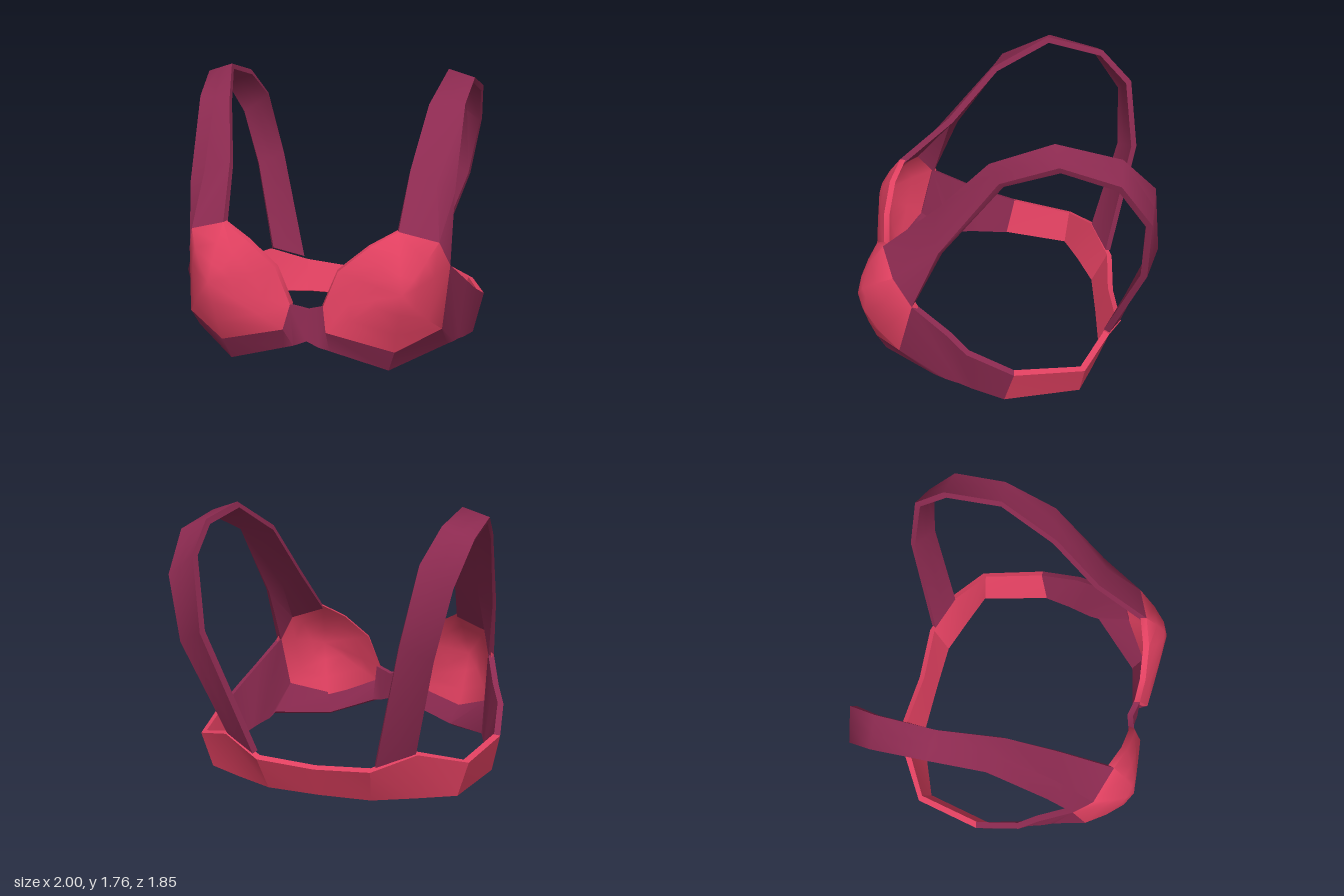
import * as THREE from 'three';
import { toCreasedNormals } from 'three/addons/utils/BufferGeometryUtils.js';

const RED = 0xe04060, PURPLE = 0x8c2a50;
const mirror = rows => rows.map(r => r.map(([x, y, z]) => [-x, y, z])).reverse();
const lerp = (a, b, t) => a.map((v, i) => v + (b[i] - v) * t);

// Cloth of even thickness from a grid of outer points; dir overrides the normals
function shell(name, rows, color, { dir = null, crease = 0.7 } = {}) {
  const thick = 0.04;
  const n = rows.length, m = rows[0].length, count = n * m;
  const id = (i, j) => i * m + j;
  const outer = rows.flat(2), index = [];
  for (let i = 0; i < n - 1; i++) {
    for (let j = 0; j < m - 1; j++) {
      const a = id(i, j), b = id(i, j + 1), c = id(i + 1, j + 1), d = id(i + 1, j);
      index.push(a, b, c, a, c, d);
    }
  }
  const sheet = new THREE.BufferGeometry();
  sheet.setAttribute('position', new THREE.Float32BufferAttribute(outer, 3));
  sheet.setIndex(index);
  sheet.computeVertexNormals();
  const normals = sheet.attributes.normal.array;
  const inner = outer.map((v, k) => v - thick * (dir ? dir[k % 3] : normals[k]));

  // inner face, then walls around the rim
  const all = [...index];
  for (let k = 0; k < index.length; k += 3) {
    all.push(index[k] + count, index[k + 2] + count, index[k + 1] + count);
  }
  const wall = (a, b) => all.push(a, a + count, b + count, a, b + count, b);
  for (let j = 0; j < m - 1; j++) {
    wall(id(0, j), id(0, j + 1));
    wall(id(n - 1, j + 1), id(n - 1, j));
  }
  for (let i = 0; i < n - 1; i++) {
    wall(id(i + 1, 0), id(i, 0));
    wall(id(i, m - 1), id(i + 1, m - 1));
  }
  const geo = new THREE.BufferGeometry();
  geo.setAttribute('position', new THREE.Float32BufferAttribute([...outer, ...inner], 3));
  geo.setIndex(all);
  const mesh = new THREE.Mesh(toCreasedNormals(geo, crease),
    new THREE.MeshStandardMaterial({ color, side: THREE.DoubleSide }));
  mesh.name = name;
  return mesh;
}

export function createModel() {
  const group = new THREE.Group();
  group.name = 'bra';

  // Cups: domes rising from a nine-sided rim
  const rim = [[.13, .34, .91], [.10, .475, .845], [.19, .70, .84], [.37, .85, .81], [.53, .935, .75],
    [.76, .86, .67], [.82, .69, .56], [.79, .32, .66], [.53, .22, .84]];
  const apex = [.58, .61, .925];
  const cup = [...rim, rim[0]].map(p => [0, .33, .67, 1].map(t => {
    const q = lerp(p, apex, t);
    q[2] = p[2] + (apex[2] - p[2]) * (1 - (1 - t) ** 1.6);
    return q;
  }));
  group.add(shell('leftCup', cup, RED, { dir: [.25, 0, .97], crease: 0.9 }));
  group.add(shell('rightCup', mirror(cup), RED, { dir: [-.25, 0, .97], crease: 0.9 }));

  // Front panel: centre bridge, strip under the cups and side wings (top, bottom)
  const wing = [
    [[.10, .475, .845], [.08, .22, .86]],
    [[.13, .34, .91], [.14, .20, .85]],
    [[.53, .22, .84], [.49, .08, .79]],
    [[.79, .32, .66], [.81, .14, .45]],
    [[.82, .69, .56], [.84, .125, .37]],
    [[.90, .535, .35], [.865, .11, .28]],
    [[.96, .435, .23], [.89, .09, .2]],
    [[1, .305, -.06], [.94, .05, 0]],
  ];
  const bridge = [[0, .44, .82], [0, .25, .85]];
  group.add(shell('frontPanel', [...mirror(wing), bridge, ...wing], PURPLE));

  // Back band, leaning outwards at the top
  const band = [
    [[1, .305, -.06], [.94, .05, 0]],
    [[.90, .255, -.50], [.83, .03, -.48]],
    [[.63, .325, -.67], [.60, .02, -.58]],
    [[.37, .22, -.775], [.34, .005, -.67]],
  ];
  const back = [[0, .19, -.755], [0, 0, -.675]];
  group.add(shell('backBand', [...band, back, ...mirror(band)], RED, { crease: 0.3 }));

  // Shoulder straps: inner edge, outer edge, slight sideways drift
  const path = [
    [[.53, .935, .75], [.82, .69, .56], 0],
    [[.57, 1.23, .40], [.84, 1.09, .385], -.02],
    [[.65, 1.58, .09], [.87, 1.58, .03], -.03],
    [[.74, 1.76, -.28], [.91, 1.705, -.30], -.035],
    [[.74, 1.675, -.66], [.925, 1.61, -.64], -.01],
    [[.70, 1.48, -.86], [.885, 1.35, -.83], .02],
    [[.62, 1.02, -.92], [.80, .94, -.84], .035],
    [[.40, .25, -.765], [.62, .33, -.67], 0],
  ];
  // middle line of a strap, following the cup's rim at its foot
  const middle = [[.76, .86, .67], [.735, 1.16, .42]];
  for (const side of [1, -1]) {
    const rows = path.map(([a, b, drift], i) => [a, middle[i] ?? lerp(a, b, .5), b]
      .map(([x, y, z]) => [x + side * drift, y, z]));
    group.add(shell(side > 0 ? 'leftStrap' : 'rightStrap', side > 0 ? rows : mirror(rows),
      PURPLE, { crease: 0.8 }));
  }
  return group;
}
